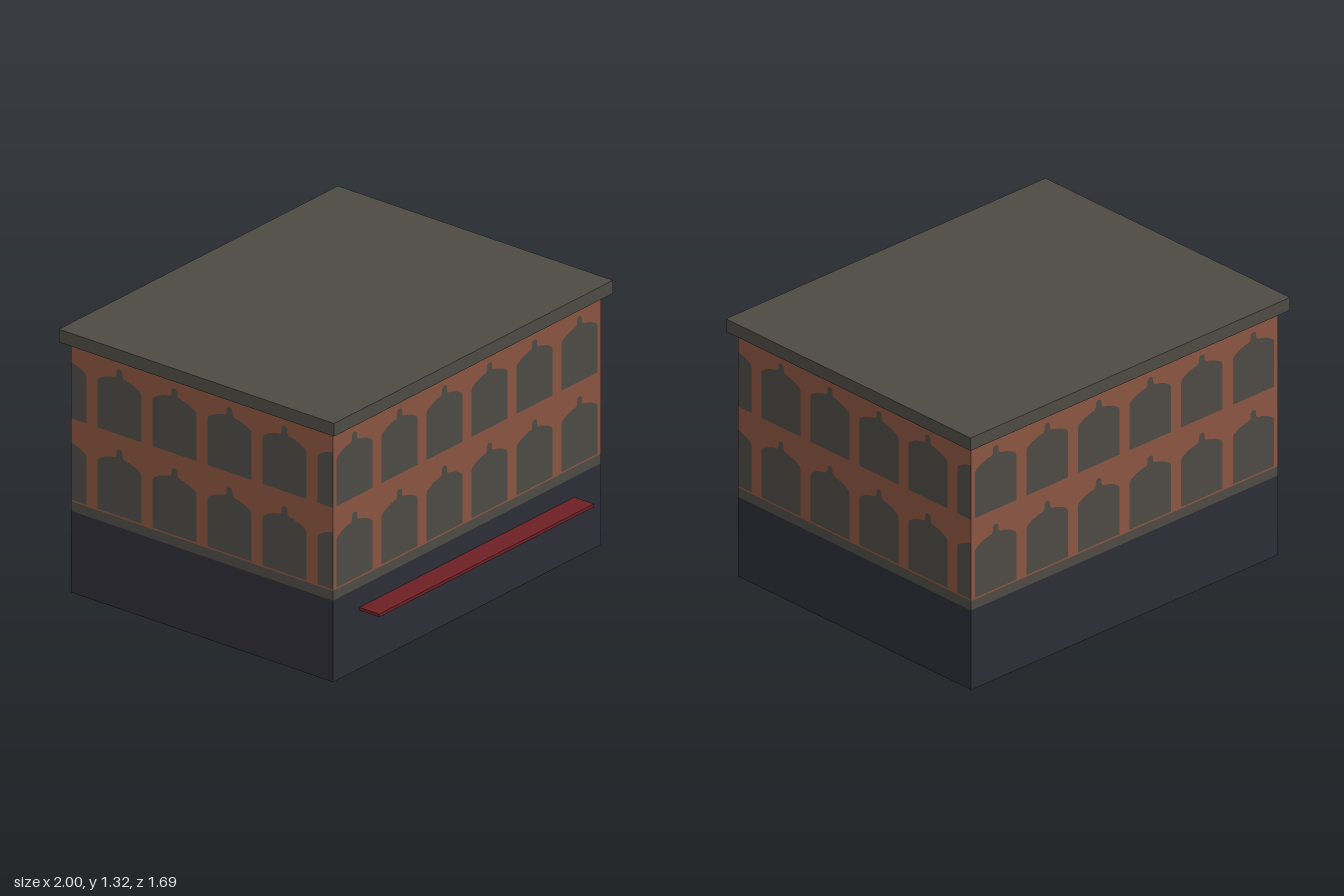
import * as THREE from 'three';

const PITCH = 0.3225;     // window spacing
const BASE_TOP = 0.407;   // top of the ground floor
const BRICK_BOTTOM = 0.455;
const WALL_TOP = 1.253;
const CENTRE_Z = -0.037;

// Arched window head with a finial, left to right, heights from the row's origin
const HEAD = [
  [-0.129, 0.235], [-0.123, 0.248], [-0.09, 0.267], [-0.05, 0.28], [-0.026, 0.284],
  [-0.017, 0.296], [-0.017, 0.318], [-0.008, 0.328], [0.008, 0.328], [0.017, 0.318],
  [0.017, 0.296], [0.026, 0.284], [0.05, 0.28], [0.09, 0.267], [0.123, 0.248], [0.129, 0.235],
];

// Window outline cut off at the wall corners (|x| <= limit)
function windowPoints(cx, origin, bottom, limit) {
  const head = HEAD.map(([x, y]) => new THREE.Vector2(cx + x, origin + y));
  const top = [];
  head.forEach((p, i) => {
    const q = head[i - 1];
    if (q && (Math.abs(p.x) > limit) !== (Math.abs(q.x) > limit)) {
      const edge = Math.sign(cx) * limit;
      top.push(q.clone().lerp(p, (edge - q.x) / (p.x - q.x)));
    }
    if (Math.abs(p.x) <= limit) top.push(p);
  });
  const first = top[0].x, last = top[top.length - 1].x;
  return [new THREE.Vector2(last, bottom), new THREE.Vector2(first, bottom), ...top];
}

function rectangle(halfWidth, y0, y1) {
  return new THREE.Shape([
    new THREE.Vector2(-halfWidth, y0), new THREE.Vector2(halfWidth, y0),
    new THREE.Vector2(halfWidth, y1), new THREE.Vector2(-halfWidth, y1),
  ]);
}

export function createModel() {
  const material = (name, color) =>
    new THREE.MeshStandardMaterial({ name, color, side: THREE.DoubleSide });
  const brick = material('brick', 0x8c5541);
  const glass = material('window grey', 0x4e4b45);
  const stone = material('roof stone', 0x4e4b44);
  const slate = material('dark slate', 0x2d2d37);
  const red = material('awning red', 0x6e2025);

  const model = new THREE.Group();
  model.name = 'building';

  function add(parent, name, geometry, mat) {
    const mesh = new THREE.Mesh(geometry, mat);
    mesh.name = name;
    parent.add(mesh);
    return mesh;
  }

  // One wall: ground floor, ledge band, brick with window openings, and the windows
  function wall(name, halfWidth, x, z, turn) {
    const group = new THREE.Group();
    group.name = name;
    const bricks = rectangle(halfWidth, BRICK_BOTTOM, WALL_TOP);
    const windows = [];
    for (const [origin, bottom] of [[0.467, 0.463], [0.868, 0.87]]) {
      for (let i = 0; i < 6; i++) {
        const points = windowPoints((i - 2.5) * PITCH, origin, bottom, halfWidth - 0.001);
        bricks.holes.push(new THREE.Path(points));
        windows.push(new THREE.Shape(points));
      }
    }
    add(group, 'brickwork', new THREE.ShapeGeometry(bricks), brick);
    add(group, 'windows', new THREE.ShapeGeometry(windows), glass);
    add(group, 'ledgeBand', new THREE.ShapeGeometry(rectangle(halfWidth, BASE_TOP, BRICK_BOTTOM)), glass);
    add(group, 'groundFloor', new THREE.ShapeGeometry(rectangle(halfWidth, 0, BASE_TOP)), slate);
    group.position.set(x, 0, CENTRE_Z + z);
    group.rotation.y = turn;
    model.add(group);
  }

  const halfX = 0.96, halfZ = 0.7675;
  wall('frontWall', halfX, 0, halfZ, 0);
  wall('backWall', halfX, 0, -halfZ, Math.PI);
  wall('leftWall', halfZ, halfX, 0, Math.PI / 2);
  wall('rightWall', halfZ, -halfX, 0, -Math.PI / 2);

  // Overhanging flat roof
  add(model, 'roof', new THREE.BoxGeometry(2, 0.065, 1.612), stone)
    .position.set(0, WALL_TOP + 0.0325, CENTRE_Z);

  // Thin awning above the shop front
  add(model, 'awning', new THREE.BoxGeometry(1.54, 0.015, 0.115), red)
    .position.set(0, 0.298, 0.788);

  return model;
}
